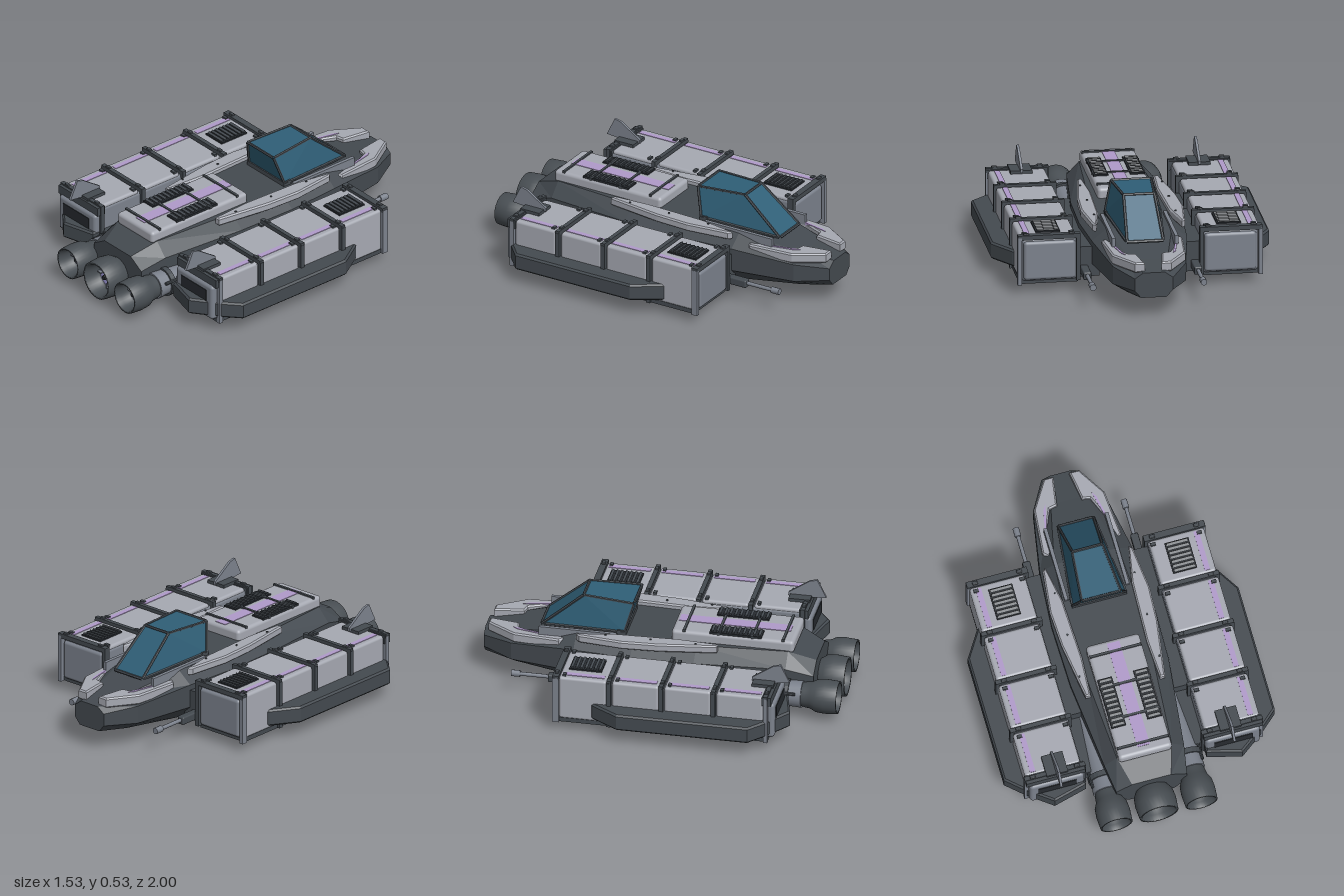
import * as THREE from 'three';
import { RoundedBoxGeometry } from 'three/addons/geometries/RoundedBoxGeometry.js';
import { ConvexGeometry } from 'three/addons/geometries/ConvexGeometry.js';

const paint = (color, opts = {}) => new THREE.MeshStandardMaterial({ color, ...opts });

export function createModel() {
  const root = new THREE.Group();
  const flat = { flatShading: true };
  const dark = paint(0x444a50, flat), black = paint(0x272b30, flat), light = paint(0xa6a9b2);
  const mid = paint(0x7c828d), lilac = paint(0xb09aca), glow = paint(0xa9a3e6);
  const glass = paint(0x2f5f77, flat), bell = paint(0x484e53, { side: THREE.DoubleSide });

  const add = (name, geo, mat) => {
    const mesh = new THREE.Mesh(geo, mat);
    mesh.name = name;
    root.add(mesh);
  };
  // adds a left part and its mirrored twin with the winding turned round
  const pair = (name, geo, mat) => {
    add(name + 'Left', geo, mat);
    const twin = (geo.index ? geo.toNonIndexed() : geo.clone()).scale(-1, 1, 1);
    for (const a of Object.values(twin.attributes)) {
      const n = a.itemSize;
      for (let i = 0; i < a.count; i += 3) for (let k = 0; k < n; k++) {
        const p = (i + 1) * n + k, q = (i + 2) * n + k, t = a.array[p];
        a.array[p] = a.array[q];
        a.array[q] = t;
      }
    }
    add(name + 'Right', twin, mat);
  };
  // box given by its limits, optionally rounded
  const box = (x0, x1, y0, y1, z0, z1, r = 0) => {
    const s = [x1 - x0, y1 - y0, z1 - z0];
    const g = r ? new RoundedBoxGeometry(...s, 3, r) : new THREE.BoxGeometry(...s);
    return g.translate((x0 + x1) / 2, (y0 + y1) / 2, (z0 + z1) / 2);
  };
  // plan outline [x, z] raised from y0 to y1, with a small bevel
  const plate = (pts, y0, y1, b = 0.008) => new THREE.ExtrudeGeometry(
    new THREE.Shape(pts.map(([x, z]) => new THREE.Vector2(x, -z))),
    { depth: y1 - y0 - 2 * b, bevelEnabled: b > 0, bevelSize: b, bevelOffset: -b, bevelThickness: b, bevelSegments: 1 }
  ).rotateX(-Math.PI / 2).translate(0, y0 + b, 0);
  const rodZ = (x, y, r0, r1, z0, z1, n = 16) =>
    new THREE.CylinderGeometry(r1, r0, z1 - z0, n).rotateX(Math.PI / 2).translate(x, y, (z0 + z1) / 2);
  const strut = (a, b, r) => new THREE.TubeGeometry(
    new THREE.LineCurve3(new THREE.Vector3(...a), new THREE.Vector3(...b)), 1, r, 6);

  // hull: [z, half top, top y, half width, upper side y, lower side y, half bottom, bottom y]
  const stations = [
    [-1, 0.06, 0.262, 0.105, 0.23, 0.16, 0.07, 0.12],
    [-0.83, 0.1, 0.285, 0.2, 0.25, 0.15, 0.12, 0.1],
    [-0.47, 0.18, 0.345, 0.262, 0.28, 0.15, 0.16, 0.06],
    [-0.15, 0.2, 0.345, 0.285, 0.28, 0.17, 0.17, 0.055],
    [0.2, 0.19, 0.345, 0.278, 0.28, 0.17, 0.17, 0.055],
    [0.7, 0.155, 0.345, 0.225, 0.27, 0.17, 0.16, 0.055],
    [0.85, 0.11, 0.285, 0.2, 0.23, 0.16, 0.13, 0.06]];
  const pos = [], idx = [];
  for (const [z, a, ay, w, wy, ly, b, by] of stations) {
    const half = [[a, ay], [w, wy], [w, ly], [b, by]];
    for (const [x, y] of [...half, ...half.map(([x, y]) => [-x, y]).reverse()]) pos.push(x, y, z);
  }
  const last = stations.length - 1;
  for (let s = 0; s < last; s++) for (let i = 0; i < 8; i++) {
    const p = s * 8 + i, q = s * 8 + (i + 1) % 8;
    idx.push(p, p + 8, q, q, p + 8, q + 8);
  }
  for (let i = 1; i < 7; i++) idx.push(0, i, i + 1, last * 8, last * 8 + i + 1, last * 8 + i);
  const hull = new THREE.BufferGeometry();
  hull.setAttribute('position', new THREE.Float32BufferAttribute(pos, 3));
  hull.setIndex(idx);
  hull.computeVertexNormals();
  add('hull', hull, dark);

  // canopy with edge frame
  const base = [[0.1, 0.335, -0.68], [0.15, 0.36, -0.21], [-0.15, 0.36, -0.21], [-0.1, 0.335, -0.68]];
  const roof = [[0.085, 0.53, -0.45], [0.11, 0.52, -0.165], [-0.11, 0.52, -0.165], [-0.085, 0.53, -0.45]];
  add('canopyGlass', new ConvexGeometry([...base, ...roof].map(p => new THREE.Vector3(...p))), glass);
  for (let i = 0; i < 4; i++) {
    const j = (i + 1) % 4;
    add('canopyFrame', strut(base[i], base[j], 0.009), dark);
    add('canopyFrame', strut(roof[i], roof[j], 0.008), dark);
    add('canopyFrame', strut(base[i], roof[i], 0.008), dark);
  }
  add('canopySill', box(-0.155, 0.155, 0.335, 0.37, -0.25, -0.2), dark);
  pair('cockpitRail', box(0.163, 0.183, 0.3, 0.36, -0.68, -0.25), mid);

  // armour on the nose and shoulders
  pair('nosePlate', plate([[0.045, -0.975], [0.1, -0.975], [0.2, -0.815], [0.222, -0.56], [0.175, -0.52],
    [0.165, -0.68], [0.115, -0.8], [0.07, -0.81]], 0.255, 0.312), light);
  pair('noseStripe', plate([[0.13, -0.83], [0.15, -0.8], [0.185, -0.63], [0.17, -0.65]], 0.3, 0.315, 0), lilac);
  pair('shoulderPlate', plate([[0.235, -0.46], [0.255, -0.44], [0.282, -0.2], [0.272, 0], [0.225, 0.32],
    [0.195, 0.32], [0.182, 0.1], [0.195, -0.25]], 0.325, 0.372), light);
  for (const z of [-0.3, -0.05, 0.2])
    pair('shoulderBolt', new THREE.CylinderGeometry(0.006, 0.006, 0.006, 8).translate(0.225, 0.374, z), dark);

  // engine deck on the back
  add('engineDeck', box(-0.15, 0.15, 0.33, 0.402, 0.05, 0.73, 0.02), light);
  add('deckStripe', box(-0.035, 0.035, 0.39, 0.405, 0.07, 0.69), lilac);
  for (const z of [0.12, 0.31, 0.5, 0.67])
    add('deckBand', box(-0.145, 0.145, 0.39, 0.41, z - 0.007, z + 0.007), dark);
  const vent = (name, x0, x1, y, z0, z1, n) => {
    pair(name + 'Bed', box(x0, x1, y - 0.02, y + 0.006, z0, z1), black);
    for (let i = 0; i < n; i++) {
      const z = z0 + (i + 0.5) * (z1 - z0) / n;
      pair(name + 'Slat', box(-0.5, 0.5, -0.004, 0.004, -0.007, 0.007).scale(x1 - x0 - 0.016, 1, 1)
        .rotateX(0.4).translate((x0 + x1) / 2, y + 0.011, z), dark);
    }
  };
  vent('deckVent', 0.06, 0.142, 0.404, 0.26, 0.55, 10);

  // engines
  const engine = (x, R) => {
    const prof = [[0.6, 0.76], [0.74, 0.82], [0.78, 0.85], [0.95, 0.88], [1, 0.93], [0.95, 1], [0.83, 1],
      [0.76, 0.97], [0.7, 0.92], [0.56, 0.91]].map(([r, z]) => new THREE.Vector2(r * R, z));
    const tag = x === 0 ? 'Center' : x > 0 ? 'Left' : 'Right';
    add('engineBell' + tag, new THREE.LatheGeometry(prof, 32).rotateX(Math.PI / 2).translate(x, 0.138, 0), bell);
    add('engineGlow' + tag, rodZ(x, 0.138, R * 0.6, R * 0.6, 0.9, 0.915, 32), glow);
    add('engineHub' + tag, rodZ(x, 0.138, R * 0.16, R * 0.12, 0.9, 0.95), black);
    for (let i = 0; i < 4; i++)
      add('engineVane' + tag, box(-0.003, 0.003, R * 0.4, R * 0.66, 0.905, 0.93)
        .rotateZ(i * Math.PI / 2).translate(x, 0.138, 0), mid);
  };
  engine(0, 0.115);
  engine(0.24, 0.095);
  engine(-0.24, 0.095);
  pair('engineNacelle', rodZ(0.24, 0.138, 0.05, 0.075, 0.34, 0.8, 20), mid);
  pair('nacelleCollar', rodZ(0.24, 0.138, 0.082, 0.082, 0.7, 0.73, 20), dark);
  pair('fuelPipe', rodZ(0.31, 0.17, 0.009, 0.009, 0.45, 0.77, 8), dark);
  const blister = x => new THREE.CapsuleGeometry(0.04, 0.36, 4, 10).rotateX(Math.PI / 2).translate(x, 0.068, 0.55);
  add('bellyBlisterCenter', blister(0), dark);
  pair('bellyBlister', blister(0.13), dark);

  // pylons joining the pods, and guns
  pair('pylon', box(0.22, 0.36, 0.08, 0.25, -0.47, 0.36), dark);
  pair('rearPylon', box(0.24, 0.36, 0.1, 0.18, 0.36, 0.68), dark);
  pair('gunBody', box(0.283, 0.327, 0.1, 0.145, -0.6, -0.46, 0.008), dark);
  pair('gunBarrel', rodZ(0.305, 0.125, 0.011, 0.011, -0.78, -0.58, 10), mid);
  pair('gunMuzzle', rodZ(0.305, 0.125, 0.018, 0.018, -0.805, -0.755, 10), mid);

  // cargo pods
  const ribs = [-0.485, -0.19, 0.1, 0.39, 0.68];
  pair('podCore', box(0.345, 0.65, 0.07, 0.315, -0.485, 0.68, 0.02), mid);
  for (let i = 0; i < 4; i++) {
    const z0 = ribs[i] + 0.016, z1 = ribs[i + 1] - 0.016;
    pair('podPanel', box(0.35, 0.662, 0.075, 0.328, z0, z1, 0.015), light);
    pair('podStripe', box(0.6, 0.63, 0.32, 0.331, z0 + 0.015, z1 - 0.015), lilac);
    for (const x of [0.37, 0.63])
      pair('podLatch', box(x - 0.014, x + 0.014, 0.32, 0.338, z0 + 0.018, z0 + 0.036), dark);
  }
  ribs.forEach((z, i) => {
    const t = i === 0 ? 0.018 : 0.012;
    pair('podRibTop', box(0.328, 0.672, 0.312, 0.338, z - t, z + t), dark);
    pair('podRibOuter', box(0.652, 0.674, 0.055, 0.325, z - t, z + t), i % 4 ? dark : mid);
    pair('podRibInner', box(0.328, 0.35, 0.07, 0.325, z - t, z + t), dark);
    for (const x of [0.375, 0.625]) pair('podRibKnob', box(x - 0.015, x + 0.015, 0.33, 0.347, z - 0.01, z + 0.01, 0.004), dark);
  });
  pair('podFrontCap', box(0.355, 0.64, 0.08, 0.3, -0.5, -0.46, 0.018), mid);
  pair('podFloor', box(0.34, 0.66, 0.055, 0.08, -0.475, 0.69), dark);
  pair('podRearHood', box(0.335, 0.667, 0.28, 0.33, 0.66, 0.71), dark);
  pair('podRearFrame', box(0.342, 0.65, 0.075, 0.285, 0.66, 0.725, 0.02), mid);
  pair('podRearIntake', box(0.39, 0.605, 0.14, 0.25, 0.71, 0.729), black);
  vent('podVent', 0.43, 0.565, 0.33, -0.43, -0.25, 7);

  // outer skirt wrapping the pod tail
  pair('podSkirt', plate([[0.64, -0.3], [0.67, -0.28], [0.765, -0.13], [0.765, 0.6], [0.67, 0.685],
    [0.53, 0.79], [0.34, 0.74], [0.34, 0.6], [0.64, 0.6]], 0.09, 0.185, 0.01), dark);

  // tail fins, drawn in side profile
  const fin = new THREE.Shape([[0.57, 0.335], [0.57, 0.355], [0.69, 0.435], [0.73, 0.445], [0.78, 0.342], [0.7, 0.335]]
    .map(([z, y]) => new THREE.Vector2(-z, y)));
  pair('tailFin', new THREE.ExtrudeGeometry(fin, { depth: 0.014, bevelEnabled: false })
    .rotateY(Math.PI / 2).translate(0.482, 0, 0), mid);
  pair('tailFinFoot', box(0.43, 0.55, 0.325, 0.346, 0.58, 0.7), dark);

  // landing skids
  for (const z of [0.04, 0.4]) {
    pair('skidBlock', box(0.4, 0.595, 0.022, 0.06, z - 0.07, z + 0.07, 0.01), dark);
    pair('skidBlockPad', box(0.47, 0.57, 0.018, 0.03, z - 0.045, z + 0.045), black);
  }
  pair('landingSkid', box(0.378, 0.436, 0.003, 0.038, -0.05, 0.51, 0.014), mid);
  return root;
}
